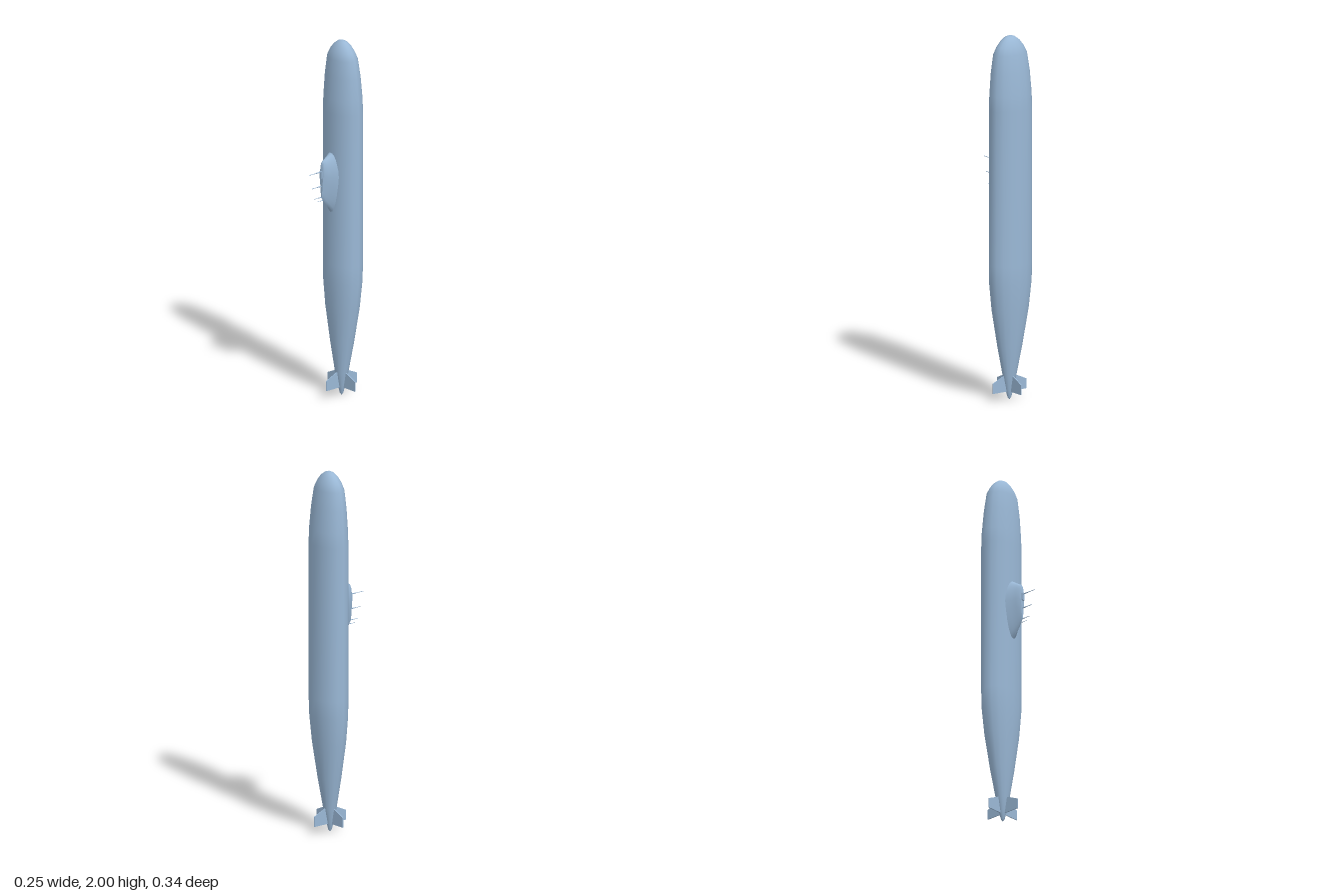
import * as THREE from 'three';
import { mergeVertices, toCreasedNormals } from 'three/addons/utils/BufferGeometryUtils.js';

const material = new THREE.MeshStandardMaterial({ color: 0x9ab8d6 });

// Skin a surface over closed rings that run counter-clockwise about the direction of travel.
function loft(rings) {
  const n = rings[0].length;
  const index = [];
  for (let i = 0; i < rings.length - 1; i++) {
    for (let j = 0; j < n; j++) {
      const a = i * n + j, b = i * n + (j + 1) % n;
      index.push(a, b, b + n, a, b + n, a + n);
    }
  }
  const geometry = new THREE.BufferGeometry();
  geometry.setAttribute('position', new THREE.Float32BufferAttribute(rings.flat(2), 3));
  geometry.setIndex(index);
  const merged = mergeVertices(geometry, 1e-5);
  merged.computeVertexNormals();
  return merged;
}

function ring(n, point) {
  return Array.from({ length: n }, (_, j) => point((j / n) * Math.PI * 2));
}

export function createModel() {
  const model = new THREE.Group();
  model.name = 'submarine';
  const add = (name, geometry, parent = model) => {
    const mesh = new THREE.Mesh(geometry, material);
    mesh.name = name;
    parent.add(mesh);
    return mesh;
  };

  // Hull stations from tail to nose: y, centre z, half width, half depth
  const stations = [
    [0, -0.074, 0, 0], [0.012, -0.074, 0.01, 0.009], [0.05, -0.074, 0.021, 0.018],
    [0.13, -0.075, 0.038, 0.034], [0.3, -0.078, 0.073, 0.056], [0.5, -0.081, 0.109, 0.077],
    [0.65, -0.083, 0.125, 0.087], [0.75, -0.084, 0.127, 0.089], [1.6, -0.084, 0.127, 0.089],
    [1.68, -0.084, 0.124, 0.087], [1.8, -0.082, 0.115, 0.078], [1.9, -0.08, 0.1, 0.067],
    [1.94, -0.079, 0.08, 0.054], [1.97, -0.079, 0.056, 0.039], [1.99, -0.079, 0.03, 0.021],
    [2, -0.079, 0, 0],
  ];
  add('hull', loft(stations.map(([y, cz, rx, rz]) =>
    ring(16, (a) => [rx * Math.cos(a), y, cz - rz * Math.sin(a)]))));

  // Sail levels from hull to top: z, half width, rear y, front y, rear taper
  const levels = [
    [-0.03, 0.07, 1.02, 1.41, 0], [0, 0.053, 1.04, 1.385, 0.1], [0.02, 0.04, 1.07, 1.37, 0.2],
    [0.045, 0.027, 1.105, 1.355, 0.35], [0.062, 0.019, 1.13, 1.345, 0.4],
    [0.069, 0.012, 1.14, 1.33, 0.4], [0.069, 0, 1.25, 1.25, 0],
  ];
  const sail = loft(levels.map(([z, w, rear, front, taper]) => {
    const middle = rear + (front - rear) * 0.62;
    return ring(24, (a) => {
      const s = Math.sin(a);
      const x = w * Math.cos(a) * (s < 0 ? 1 + taper * s : 1);
      return [x, middle + s * (s > 0 ? front - middle : middle - rear), z];
    });
  }));
  add('sail', toCreasedNormals(sail, 0.8));

  // Four tail fins around the stern
  const outline = new THREE.Shape([[0, 0.045], [0.109, 0.045], [0.109, 0.1], [0.038, 0.132], [0, 0.132]]
    .map(([x, y]) => new THREE.Vector2(x, y)));
  const finGeometry = new THREE.ExtrudeGeometry(outline, { depth: 0.005, bevelEnabled: false })
    .translate(0, 0, -0.0025);
  const fins = new THREE.Group();
  fins.name = 'tailFins';
  fins.position.z = -0.074;
  for (let i = 0; i < 4; i++) {
    add('tailFin', finGeometry, fins).rotation.y = (i * Math.PI) / 2;
  }
  model.add(fins);

  // Mast housing on top of the sail
  add('mastHousing', new THREE.BoxGeometry(0.016, 0.04, 0.018).translate(0, 1.272, 0.068));

  // Masts: y, tip z, radius of the lower tube
  const masts = [[1.288, 0.156, 0.0028], [1.207, 0.135, 0.003], [1.145, 0.12, 0.0025], [1.125, 0.1, 0.002]];
  for (const [y, tip, radius] of masts) {
    const base = 0.045, step = base + (tip - base) * 0.55;
    const mast = new THREE.Group();
    mast.name = 'mast';
    for (const [name, from, to, r] of [['mastTube', base, step, radius], ['mastTip', step, tip, radius * 0.55]]) {
      add(name, new THREE.CylinderGeometry(r, r, to - from, 8).rotateX(Math.PI / 2)
        .translate(0, y, (from + to) / 2), mast);
    }
    model.add(mast);
  }

  return model;
}
